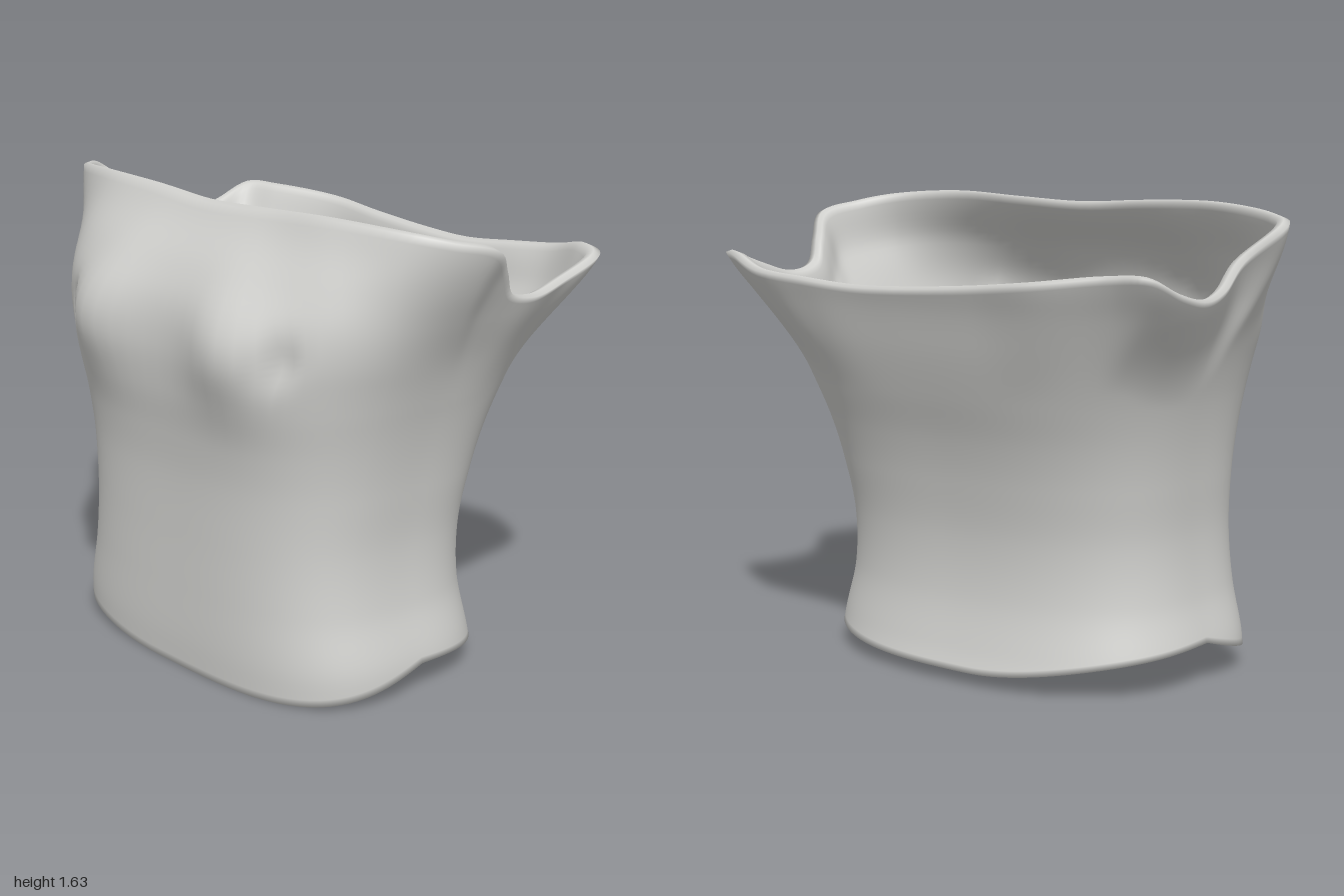
import * as THREE from 'three';

// Body cross-sections: height, half width, front z, back z
const SECTIONS = [
  [0, 0.75, 0.575, -0.43], [0.12, 0.74, 0.58, -0.395], [0.3, 0.695, 0.58, -0.365],
  [0.5, 0.678, 0.58, -0.37], [0.7, 0.693, 0.585, -0.41], [0.85, 0.715, 0.6, -0.455],
  [1.0, 0.75, 0.62, -0.515], [1.15, 0.8, 0.625, -0.575], [1.3, 0.87, 0.605, -0.63],
  [1.42, 0.93, 0.55, -0.68], [1.55, 0.99, 0.46, -0.72], [1.65, 1.02, 0.4, -0.73],
];

// Upper rim, from centre front round by the left side: neckline, armhole, back
const RIM = [
  [0, 1.6, 0.41], [0.3, 1.61, 0.4], [0.6, 1.622, 0.385], [0.85, 1.605, 0.3], [0.95, 1.58, 0.2],
  [1, 1.545, 0.06], [0.95, 1.46, -0.03], [0.91, 1.37, -0.1], [0.905, 1.345, -0.22],
  [0.905, 1.38, -0.36], [0.9, 1.435, -0.52], [0.78, 1.44, -0.61], [0.6, 1.4, -0.68],
  [0.4, 1.38, -0.67], [0.2, 1.365, -0.65], [0, 1.37, -0.65], [-0.3, 1.39, -0.655],
  [-0.55, 1.415, -0.65], [-0.78, 1.44, -0.55], [-0.9, 1.44, -0.5], [-0.93, 1.38, -0.36],
  [-0.92, 1.35, -0.2], [-0.91, 1.375, -0.08], [-0.91, 1.46, 0.03], [-0.995, 1.57, 0.15],
  [-0.9, 1.595, 0.27], [-0.6, 1.62, 0.38], [-0.3, 1.615, 0.4],
];

const { lerp, smoothstep } = THREE.MathUtils;

// Smooth interpolation of the section table at height y
function sectionAt(y) {
  const last = SECTIONS.length - 1;
  let i = 0;
  while (i < last - 1 && y > SECTIONS[i + 1][0]) i++;
  const p = SECTIONS[Math.max(i - 1, 0)], a = SECTIONS[i];
  const b = SECTIONS[i + 1], q = SECTIONS[Math.min(i + 2, last)];
  const h = b[0] - a[0];
  const t = THREE.MathUtils.clamp((y - a[0]) / h, 0, 1);
  return [1, 2, 3].map((k) => {
    const m0 = h * (b[k] - p[k]) / (b[0] - p[0]);
    const m1 = h * (q[k] - a[k]) / (q[0] - a[0]);
    const t2 = t * t, t3 = t2 * t;
    return (2 * t3 - 3 * t2 + 1) * a[k] + (t3 - 2 * t2 + t) * m0
      + (3 * t2 - 2 * t3) * b[k] + (t3 - t2) * m1;
  });
}

const bell = (d, width) => Math.exp(-((d / width) ** 2));

// Point on the outer cloth at a polar angle and height; the front is boxier than the back
function bodyPoint(angle, y) {
  const [halfWidth, front, back] = sectionAt(y);
  const c = Math.cos(angle), s = Math.sin(angle);
  const depth = (front - back) / 2;
  const n = s > 0 ? 3.2 : 2.6 + 0.4 * y;
  const r = (Math.abs(c / halfWidth) ** n + Math.abs(s / depth) ** n) ** (-1 / n);
  const p = new THREE.Vector3(r * c - 0.02 * Math.max(0, 1 - y), y, (front + back) / 2 + r * s);
  if (s > 0) {
    // bust fullness and the small gathered tucks beside it
    const x = Math.abs(p.x);
    p.z += 0.065 * bell(x - 0.36, 0.18) * bell(y - 1.2, 0.2);
    p.z -= 0.04 * bell(x - 0.55 - 0.25 * (y - 1.18), 0.045) * bell(y - 1.18, 0.08);
  }
  return p;
}

// Hem is lowest at the front, arched at the sides and a little higher on the right
function hemHeight(angle) {
  const p = bodyPoint(angle, 0.1);
  const zeta = THREE.MathUtils.clamp((p.z - 0.09) / 0.49, -1, 1);
  const drop = zeta > 0 ? 0.1 * (1 - (1 - zeta) ** 1.5) : 0.055 * zeta * zeta;
  return 0.1 - drop + 0.05 * smoothstep(-p.x, 0.1, 0.72);
}

// Thin cloth with a thicker rolled hem and upper rim
const thickness = (v) => 0.008 + 0.037 * smoothstep(v, 0.88, 1) + 0.02 * (1 - smoothstep(v, 0, 0.06));

// Closed shell: up the outside, over the rim, down the inside, round the hem
function garmentGeometry(columns = 168, rows = 64) {
  const rim = new THREE.CatmullRomCurve3(RIM.map((p) => new THREE.Vector3(...p)), true, 'centripetal');
  const loops = [];
  for (let j = 0; j < columns; j++) {
    const top = rim.getPoint(j / columns);
    const angle = Math.atan2(top.z, top.x);
    const hem = hemHeight(angle);
    const fit = top.clone().sub(bodyPoint(angle, top.y));
    const outer = [], inner = [];
    for (let i = 0; i <= rows; i++) {
      const v = i / rows;
      const p = bodyPoint(angle, lerp(hem, top.y, v));
      p.addScaledVector(fit, smoothstep(v, 0.7, 1));
      outer.push(p);
      const inward = new THREE.Vector3(-p.x, 0, 0.08 * (1 - v) - p.z).normalize();
      inner.push(p.clone().addScaledVector(inward, thickness(v)));
    }
    const lip = outer[rows].clone().lerp(inner[rows], 0.5);
    lip.y += 0.008;
    loops.push([...outer, lip, ...inner.reverse()]);
  }
  const n = loops[0].length;
  const positions = [], indices = [];
  loops.forEach((loop, j) => {
    const next = ((j + 1) % columns) * n;
    loop.forEach((p, i) => {
      positions.push(p.x, p.y, p.z);
      const a = j * n + i, b = next + i;
      const c = next + (i + 1) % n, d = j * n + (i + 1) % n;
      indices.push(a, b, c, a, c, d);
    });
  });
  const geometry = new THREE.BufferGeometry();
  geometry.setAttribute('position', new THREE.Float32BufferAttribute(positions, 3));
  geometry.setIndex(indices);
  geometry.computeVertexNormals();
  return geometry;
}

export function createModel() {
  const cloth = new THREE.MeshStandardMaterial({ color: 0xd2d2cf });
  cloth.name = 'light grey cloth';
  const top = new THREE.Mesh(garmentGeometry(), cloth);
  top.name = 'straplessTop';
  const group = new THREE.Group();
  group.name = 'garment';
  group.add(top);
  return group;
}
